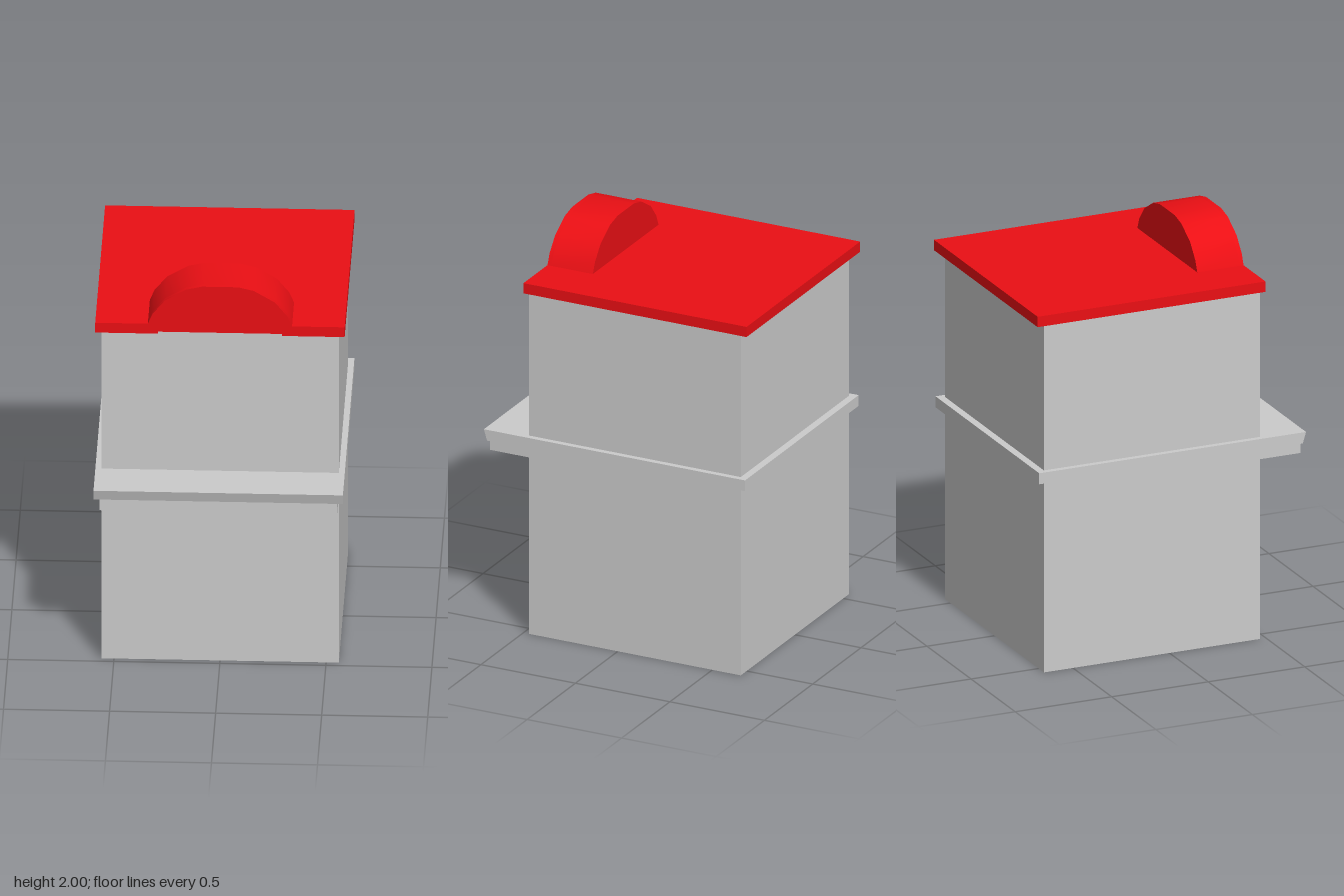
import * as THREE from 'three';
import { toCreasedNormals } from 'three/addons/utils/BufferGeometryUtils.js';

const grey = new THREE.MeshStandardMaterial({ color: 0xcccccc });
const wallGrey = new THREE.MeshStandardMaterial({ color: 0xcccccc, flatShading: true, side: THREE.DoubleSide });
const red = new THREE.MeshStandardMaterial({ color: 0xeb0f14 });

function part(name, geometry, material) {
  const mesh = new THREE.Mesh(geometry, material);
  mesh.name = name;
  return mesh;
}

// Box given by its limits on each axis
function box(x0, x1, y0, y1, z0, z1) {
  return new THREE.BoxGeometry(x1 - x0, y1 - y0, z1 - z0)
    .translate((x0 + x1) / 2, (y0 + y1) / 2, (z0 + z1) / 2);
}

// Mirror the left half of an arch (listed bottom to top) to the right
const arch = half => [...half, ...half.map(([x, y]) => [-x, y]).reverse()];
const vectors = points => points.map(([x, y]) => new THREE.Vector2(x, y));

function slice(points, hole, z0, z1) {
  const shape = new THREE.Shape(vectors(points));
  if (hole) shape.holes.push(new THREE.Path(vectors(hole)));
  const g = new THREE.ExtrudeGeometry(shape, { depth: z1 - z0, bevelEnabled: false }).translate(0, 0, z0);
  return toCreasedNormals(g, 0.65);
}

export function createModel() {
  const model = new THREE.Group();

  // Hollow square body, open underneath
  const walls = new THREE.CylinderGeometry(0.56 * Math.SQRT2, 0.56 * Math.SQRT2, 1.745, 4, 1, true)
    .rotateY(Math.PI / 4).translate(0, 0.8725, -0.09);
  model.add(part('bodyWalls', walls, wallGrey));

  // Band around the body, its front face leaning outwards
  const rect = (x, back, front) => [[-x, -front], [x, -front], [x, -back], [-x, -back]];
  const ring = new THREE.Shape(vectors(rect(0.588, -0.687, 0.695)));
  ring.holes.push(new THREE.Path(vectors(rect(0.56, -0.65, 0.47))));
  const band = new THREE.ExtrudeGeometry(ring, { depth: 0.055, bevelEnabled: false })
    .rotateX(-Math.PI / 2).translate(0, 0.957, 0);
  // Shape y became -z, so the outline's front edge is at z = 0.695
  const p = band.attributes.position;
  for (let i = 0; i < p.count; i++) {
    if (p.getZ(i) > 0.6 && p.getY(i) < 0.98) p.setZ(i, 0.678);
  }
  band.computeVertexNormals();
  model.add(part('band', band, grey));
  model.add(part('frontLedge', box(-0.56, 0.56, 0.9, 0.957, 0.47, 0.678), grey));

  // Roof slab and arched gable, with a shallow arched recess in the front
  const outer = arch([[-0.34, 1.797], [-0.318, 1.85], [-0.26, 1.922], [-0.16, 1.982], [-0.085, 2]]);
  const inner = arch([[-0.292, 1.745], [-0.292, 1.77], [-0.275, 1.835], [-0.215, 1.92], [-0.135, 1.966], [-0.07, 1.977]]);
  const front = [[-0.588, 1.745], [-0.588, 1.797], ...outer, [0.588, 1.797], [0.588, 1.745], ...inner.slice().reverse()];
  const roof = new THREE.Group();
  roof.name = 'roof';
  roof.add(
    part('roofSlab', box(-0.588, 0.588, 1.745, 1.797, -0.695, 0.465), red),
    part('gable', slice(outer, null, 0.245, 0.465), red),
    part('gableFrame', slice(front, null, 0.465, 0.485), red),
  );
  model.add(roof);
  return model;
}
